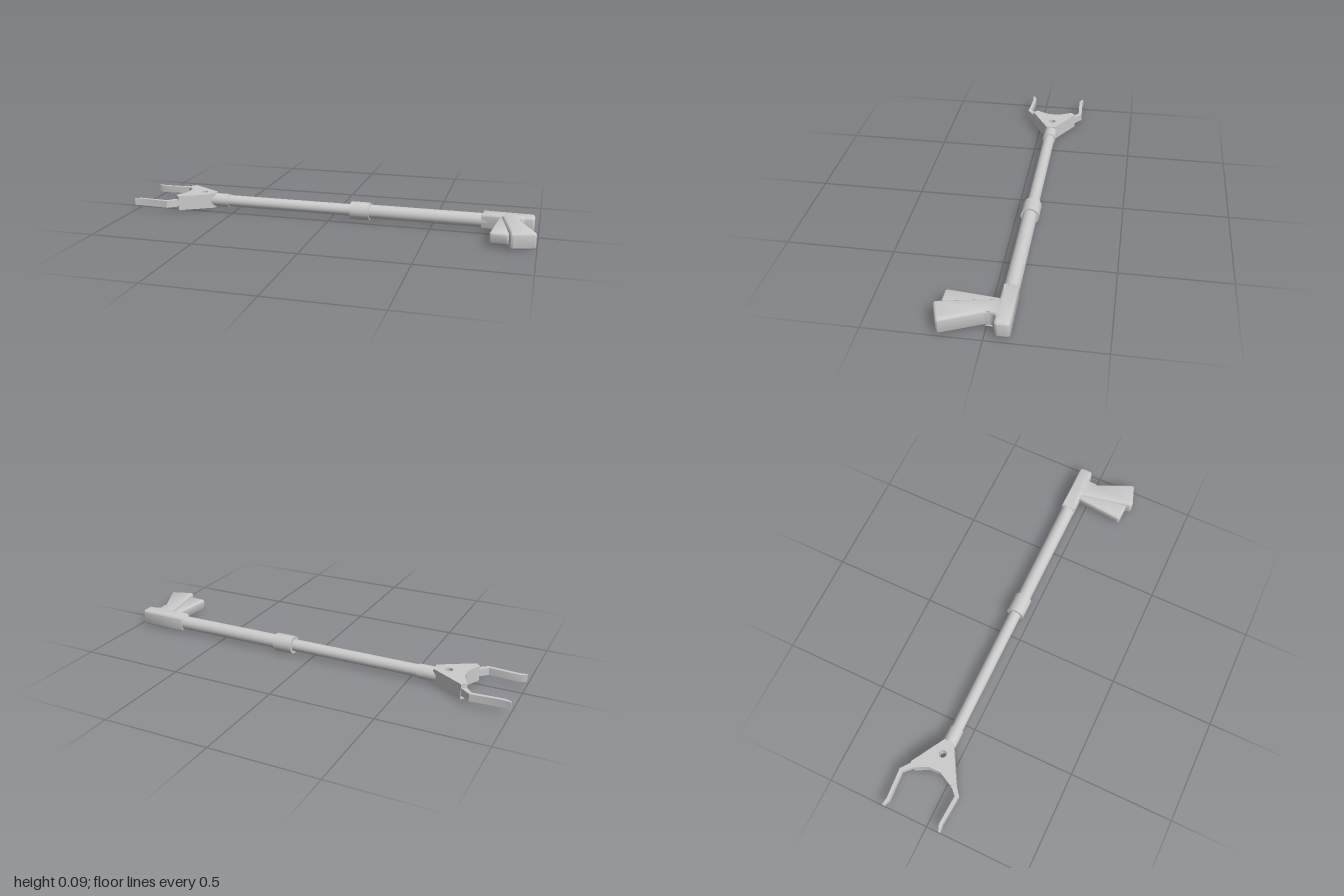
import * as THREE from 'three';
import { toCreasedNormals } from 'three/addons/utils/BufferGeometryUtils.js';

const AXIS_Y = 0.0435, AXIS_Z = -0.072;
const material = new THREE.MeshStandardMaterial({ color: 0xcccccc });

function add(group, name, geometry) {
  const mesh = new THREE.Mesh(geometry, material);
  mesh.name = name;
  group.add(mesh);
  return mesh;
}

// Closed outline of [x, z, cornerRadius] points
function outline(points) {
  const shape = new THREE.Shape();
  const n = points.length;
  points.forEach(([x, z, r = 0], i) => {
    const p = new THREE.Vector2(x, z);
    const towards = (q) => new THREE.Vector2(q[0], q[1]).sub(p).setLength(r).add(p);
    const a = towards(points[(i + n - 1) % n]);
    const b = towards(points[(i + 1) % n]);
    if (i === 0) shape.moveTo(a.x, a.y);
    else shape.lineTo(a.x, a.y);
    if (r > 0) shape.quadraticCurveTo(x, z, b.x, b.y);
  });
  shape.closePath();
  return shape;
}

// Flat plate lying in the xz plane, centred on the pole height
function plate(shape, height, bevel = 0) {
  const g = new THREE.ExtrudeGeometry(shape, {
    depth: height - 2 * bevel, bevelEnabled: bevel > 0, bevelThickness: bevel,
    bevelSize: bevel, bevelOffset: -bevel, bevelSegments: 4, curveSegments: 8,
  });
  g.translate(0, 0, bevel - height / 2);
  g.rotateX(Math.PI / 2);
  g.translate(0, AXIS_Y, 0);
  return toCreasedNormals(g, 0.6);
}

// Cylinder along x
function rod(x0, x1, radius) {
  const g = new THREE.CylinderGeometry(radius, radius, x1 - x0, 40);
  g.rotateZ(Math.PI / 2);
  g.translate((x0 + x1) / 2, AXIS_Y, AXIS_Z);
  return g;
}

export function createModel() {
  const model = new THREE.Group();
  model.name = 'reachingGrabber';

  // Telescoping pole
  add(model, 'innerTube', rod(-0.6, 0.12, 0.029));
  add(model, 'outerTube', rod(0.18, 0.76, 0.034));
  add(model, 'collar', rod(0.1, 0.195, 0.0435));
  add(model, 'headFerrule', rod(-0.645, -0.54, 0.034));

  // Handle with angled pistol grip
  add(model, 'handle', plate(outline([
    [0.735, -0.107, 0.004], [0.98, -0.107, 0.018], [0.98, -0.039, 0.018],
    [0.918, -0.039, 0.03], [0.918, 0.005, 0.015], [1.0, 0.187, 0.016],
    [0.884, 0.226, 0.018], [0.832, -0.039, 0.006], [0.735, -0.039, 0.004],
  ]), 0.079, 0.014));

  // Trigger in front of the grip
  add(model, 'trigger', plate(outline([
    [0.815, -0.06], [0.79, 0.192, 0.014], [0.882, 0.195, 0.014], [0.85, -0.06],
  ]), 0.052, 0.01));

  // Wedge-shaped jaw head with a pin hole
  const head = outline([
    [-0.773, AXIS_Z - 0.117], [-0.615, AXIS_Z - 0.024], [-0.615, AXIS_Z + 0.024],
    [-0.773, AXIS_Z + 0.117], [-0.795, AXIS_Z + 0.096], [-0.762, AXIS_Z + 0.03],
    [-0.762, AXIS_Z - 0.03], [-0.795, AXIS_Z - 0.096],
  ]);
  const hole = new THREE.Path();
  hole.absarc(-0.68, AXIS_Z, 0.018, 0, Math.PI * 2, true);
  head.holes.push(hole);
  add(model, 'jawHead', plate(head, 0.073));

  // Mirrored bent jaws: [x, distance from the pole axis]
  const jaw = [
    [-1, 0.147], [-0.965, 0.142], [-0.82, 0.152], [-0.755, 0.1],
    [-0.775, 0.082], [-0.828, 0.134], [-0.97, 0.126], [-1, 0.138],
  ];
  for (const [name, side] of [['backJaw', -1], ['frontJaw', 1]]) {
    add(model, name, plate(outline(jaw.map(([x, d]) => [x, AXIS_Z + side * d])), 0.035));
  }
  return model;
}
